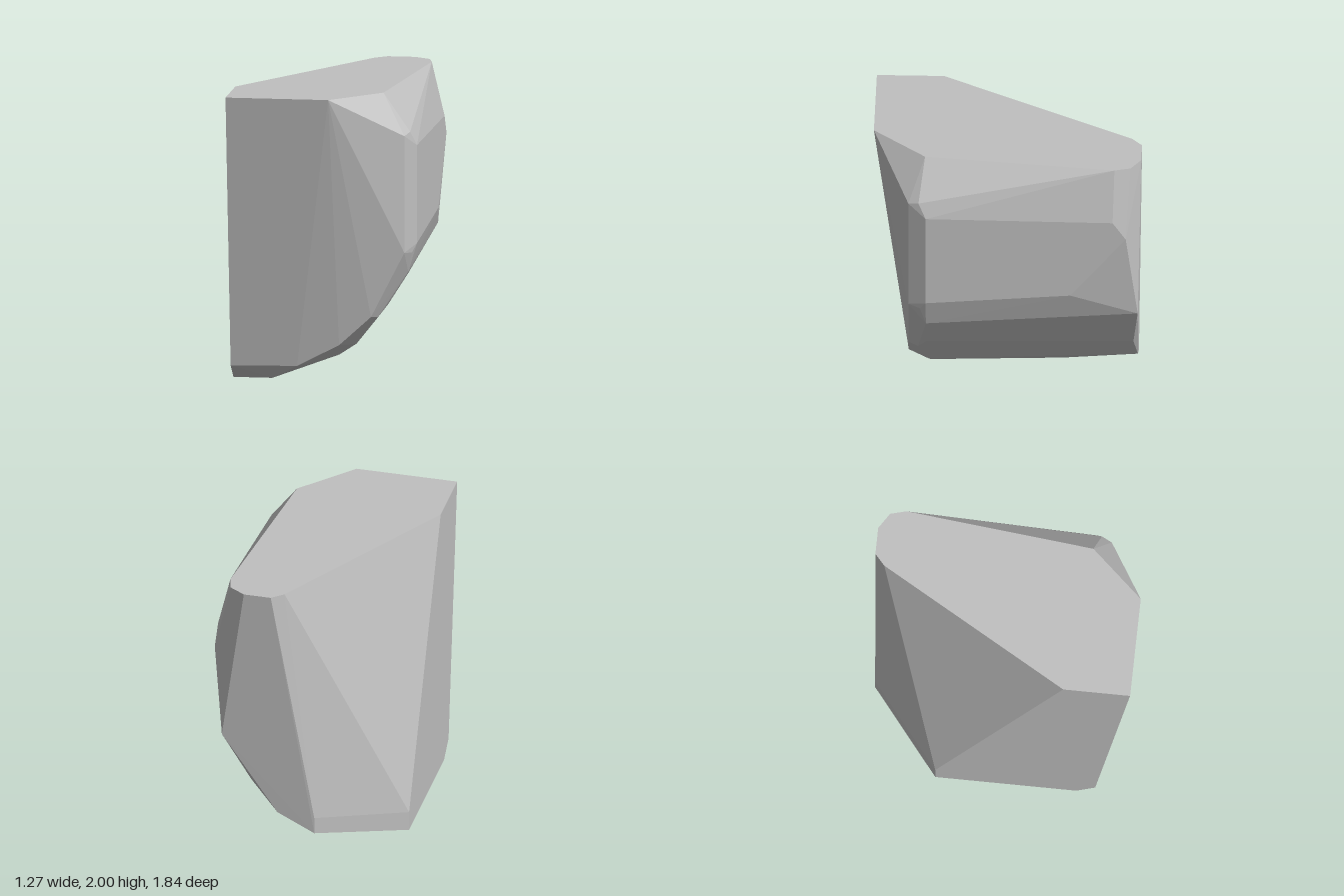
import * as THREE from 'three';
import { ConvexGeometry } from 'three/addons/geometries/ConvexGeometry.js';

export function createModel() {
  const group = new THREE.Group();
  group.name = 'rockChunk';
  const stone = new THREE.MeshStandardMaterial({ color: 0xbfbfbf });
  stone.name = 'grey stone';

  // flat top outline, all at y = 2, as [x, z]
  const top = [
    [-0.64, 0.92], [0.07, 0.92], [0.40, 0.56], [0.54, -0.74], [0.51, -0.85],
    [0.40, -0.92], [0.21, -0.92], [0.13, -0.85], [-0.64, 0.46],
  ].map(([x, z]) => [x, 2, z]);

  // curved rim of the front face
  const frontRim = [
    [0.56, 1.72, 0.67], [0.56, 0.91, 0.67], [0.33, 0.46, 0.675],
    [0.11, 0.26, 0.68], [-0.18, 0.11, 0.68], [-0.64, 0.10, 0.68],
  ];

  // bevel behind the front rim, where the side begins
  const bevelRim = [
    [0.59, 1.74, 0.60], [0.63, 1.64, 0.55], [0.63, 0.96, 0.55], [0.60, 0.90, 0.59],
    [0.57, 0.76, 0.55], [0.43, 0.53, 0.55], [0.37, 0.45, 0.61], [0.21, 0.25, 0.54],
    [0.09, 0.17, 0.53], [-0.37, 0, 0.55], [-0.64, 0, 0.55],
  ];

  // back end of the side and underside
  const backRim = [
    [0.63, 1.63, -0.73], [0.63, 1.50, -0.82], [0.63, 1.04, -0.44],
    [0.56, 0.86, -0.90], [0.36, 0.51, -0.865], [0.17, 0.29, -0.89],
    [-0.13, 0.06, -0.37], [-0.30, 0, -0.41],
    [-0.09, 0.28, -0.89], [-0.09, 0.16, -0.89],
    [-0.64, 0.14, -0.42], [-0.64, 0, -0.42],
  ];

  // the faceted solid spanning all the rims
  const points = [...top, ...frontRim, ...bevelRim, ...backRim]
    .map((p) => new THREE.Vector3(...p));
  const rock = new THREE.Mesh(new ConvexGeometry(points), stone);
  rock.name = 'facetedStone';
  group.add(rock);
  return group;
}
